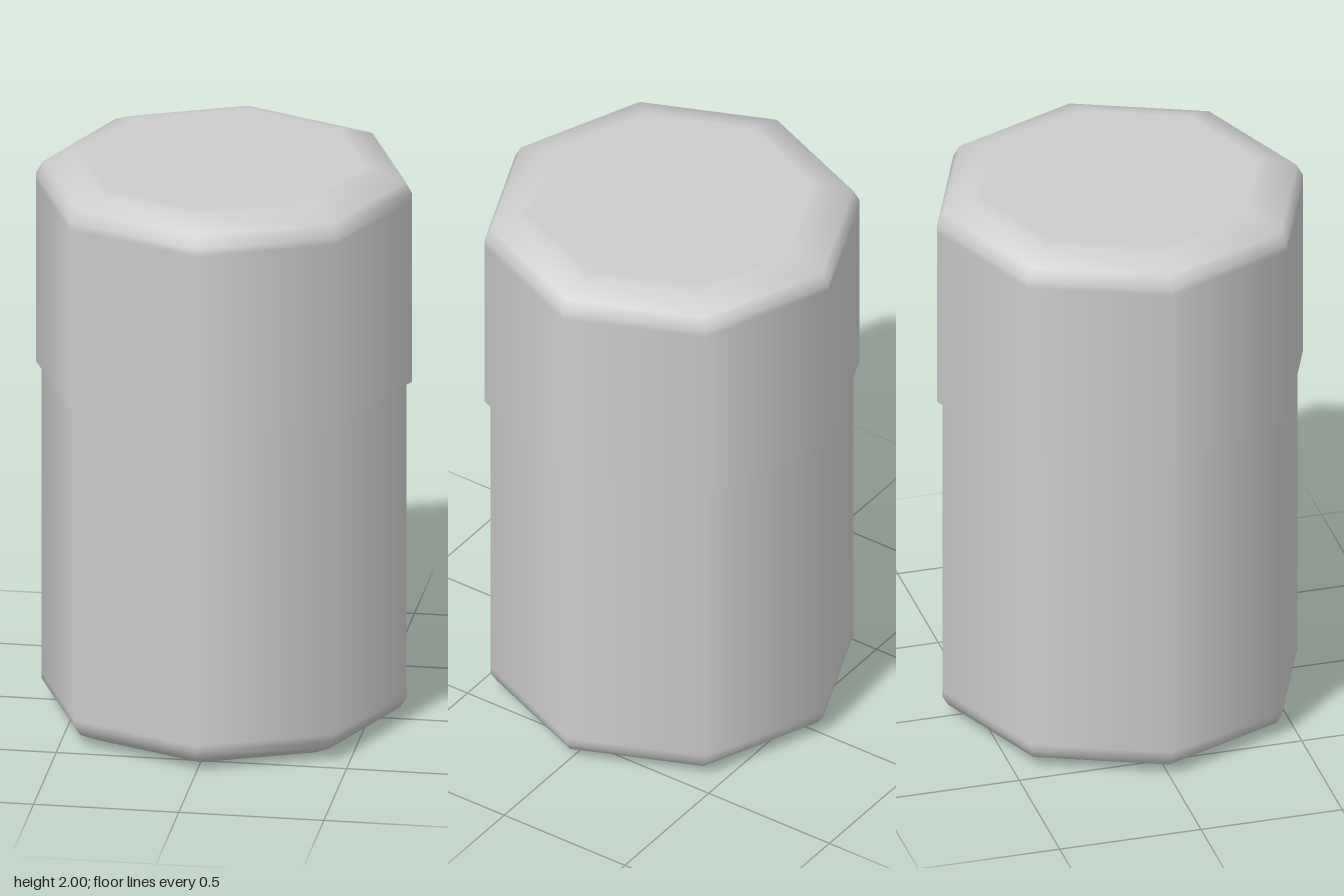
import * as THREE from 'three';

const SIDES = 8;

// Smooth-shaded eight-sided turned part; profile points are [radius, height]
function turned(name, profile, material) {
  const points = profile.map(([r, y]) => new THREE.Vector2(r, y));
  const mesh = new THREE.Mesh(new THREE.LatheGeometry(points, SIDES), material);
  mesh.name = name;
  return mesh;
}

export function createModel() {
  const group = new THREE.Group();
  group.name = 'cappedContainer';
  const grey = new THREE.MeshStandardMaterial({ color: 0xcccccc });
  grey.name = 'light grey';

  // Body with a rounded bottom edge, running up inside the cap
  group.add(turned('body', [
    [0, 0], [0.49, 0], [0.53, 0.005], [0.607, 0.042], [0.628, 0.075], [0.628, 0.1], [0.628, 1.3],
  ], grey));

  // Slightly wider cap with a rounded top edge
  group.add(turned('cap', [
    [0.648, 1.23], [0.648, 1.89], [0.648, 1.915], [0.625, 1.957], [0.53, 1.997], [0.49, 2], [0, 2],
  ], grey));

  // Underside of the cap rim
  const lip = new THREE.Mesh(new THREE.RingGeometry(0.626, 0.648, SIDES), grey);
  lip.name = 'capLip';
  lip.rotation.x = Math.PI / 2;
  lip.position.y = 1.23;
  group.add(lip);

  return group;
}
